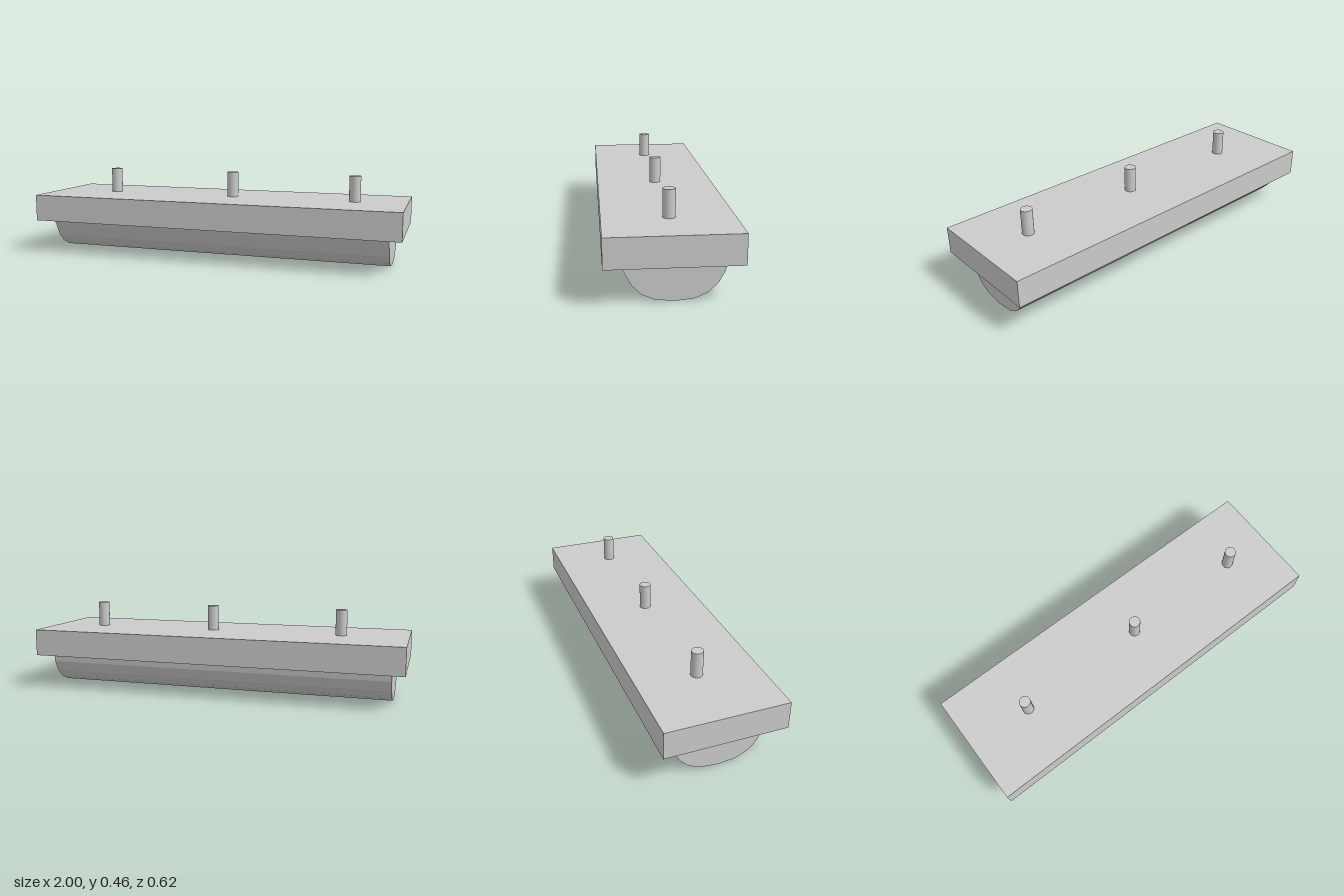
import * as THREE from 'three';

const material = new THREE.MeshStandardMaterial({ color: 0xcccccc });

function addPart(group, name, geometry, x = 0, y = 0, z = 0) {
  const mesh = new THREE.Mesh(geometry, material);
  mesh.name = name;
  mesh.position.set(x, y, z);
  group.add(mesh);
}

export function createModel() {
  const group = new THREE.Group();
  group.name = 'mountedHalfRoundBar';

  // Flat mounting plate
  addPart(group, 'plate', new THREE.BoxGeometry(2, 0.143, 0.616), 0, 0.2505, 0);

  // Faceted half-round body: profile as (z, y), extruded along x
  const profile = [
    [0.235, 0.18], [0.212, 0.135], [0.183, 0.08], [0.14, 0.037], [0.083, 0.01], [-0.008, 0],
    [-0.1, 0.01], [-0.157, 0.037], [-0.2, 0.08], [-0.23, 0.135], [-0.235, 0.18],
  ].map(([z, y]) => new THREE.Vector2(z, y));
  const length = 1.866;
  const body = new THREE.ExtrudeGeometry(new THREE.Shape(profile), { depth: length, bevelEnabled: false });
  body.translate(0, 0, -length / 2);
  body.rotateY(-Math.PI / 2);
  addPart(group, 'halfRoundBody', body);

  // Three upright pegs on the plate
  for (const x of [-0.65, 0.06, 0.73]) {
    addPart(group, 'peg', new THREE.CylinderGeometry(0.03, 0.03, 0.135, 32), x, 0.3895, -0.003);
  }

  return group;
}
